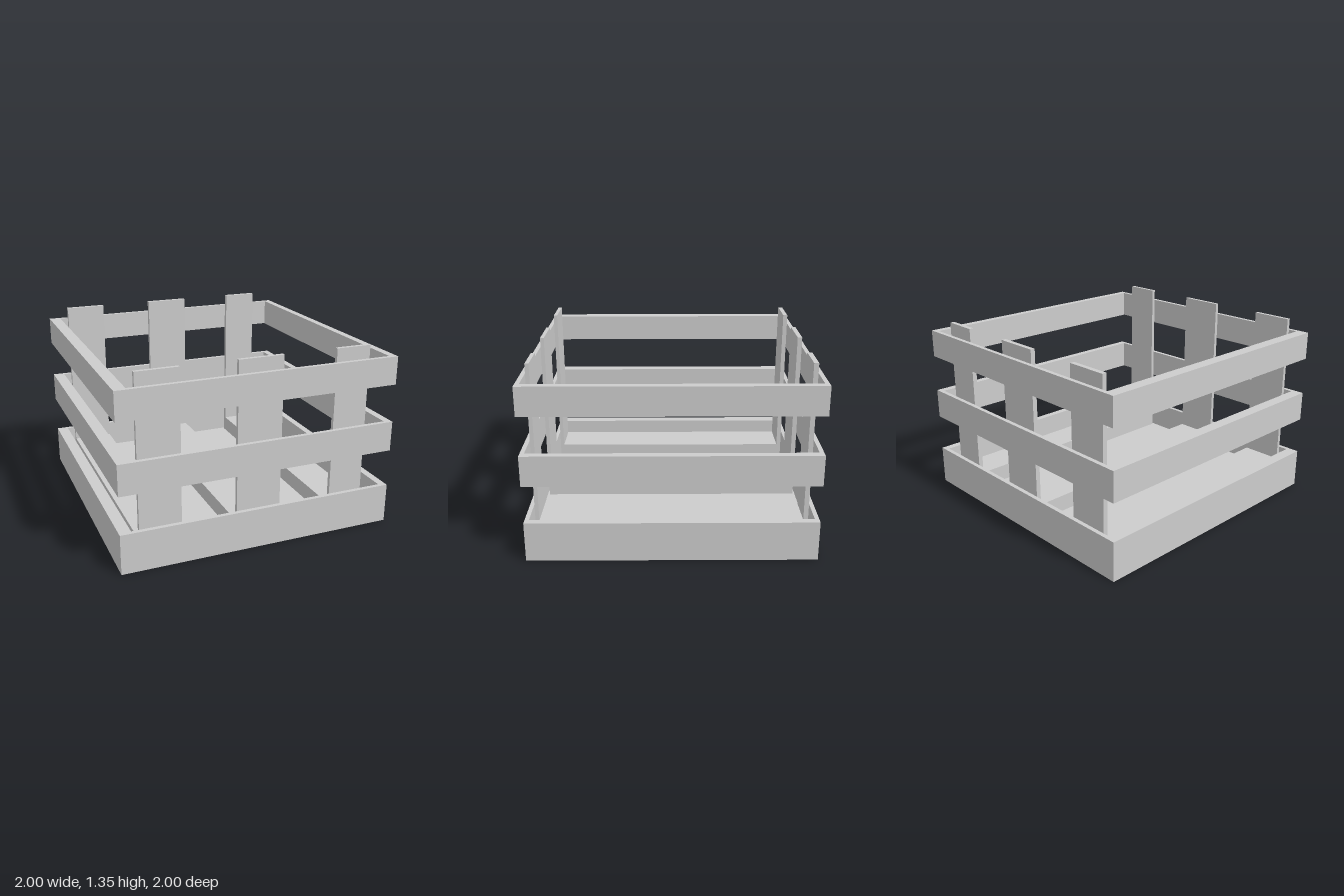
import * as THREE from 'three';

const material = new THREE.MeshStandardMaterial({ color: 0xcccccc, flatShading: true });

// Box given by its minimum and maximum on each axis
function box(name, [x0, x1], [y0, y1], [z0, z1]) {
  const geometry = new THREE.BoxGeometry(x1 - x0, y1 - y0, z1 - z0);
  geometry.translate((x0 + x1) / 2, (y0 + y1) / 2, (z0 + z1) / 2);
  const mesh = new THREE.Mesh(geometry, material);
  mesh.name = name;
  return mesh;
}

// Counter-clockwise rectangle in plan
const rectangle = (Type, x0, x1, z0, z1) => new Type([
  new THREE.Vector2(x0, -z1), new THREE.Vector2(x1, -z1),
  new THREE.Vector2(x1, -z0), new THREE.Vector2(x0, -z0),
]);

// Square rim with a rectangular opening
function rim(name, y0, y1) {
  const shape = rectangle(THREE.Shape, -1, 1, -1, 1);
  shape.holes.push(rectangle(THREE.Path, -0.917, 0.947, -0.97, 0.97));
  const geometry = new THREE.ExtrudeGeometry(shape, { depth: y1 - y0, bevelEnabled: false });
  geometry.rotateX(-Math.PI / 2).translate(0, y0, 0);
  const mesh = new THREE.Mesh(geometry, material);
  mesh.name = name;
  return mesh;
}

export function createModel() {
  const crate = new THREE.Group();
  crate.name = 'crate';

  // Tray at the bottom and two open rails above it
  const floorTop = 0.08;
  crate.add(
    box('trayFloor', [-1, 1], [0, floorTop], [-1, 1]),
    rim('trayWall', floorTop, 0.287),
    rim('middleRail', 0.558, 0.777),
    rim('topRail', 1.052, 1.255),
  );

  // U-shaped slats: a floor board with an upright at each end
  const boardTop = 0.2, top = 1.345;
  const widths = [[-0.86, -0.565], [-0.17, 0.152], [0.545, 0.8]];
  for (const x of widths) {
    const slat = new THREE.Group();
    slat.name = 'slat';
    slat.add(
      box('floorBoard', x, [floorTop, boardTop], [-0.955, 0.955]),
      box('frontUpright', x, [boardTop, top], [0.928, 0.955]),
      box('backUpright', x, [boardTop, top], [-0.955, -0.922]),
    );
    crate.add(slat);
  }
  return crate;
}
